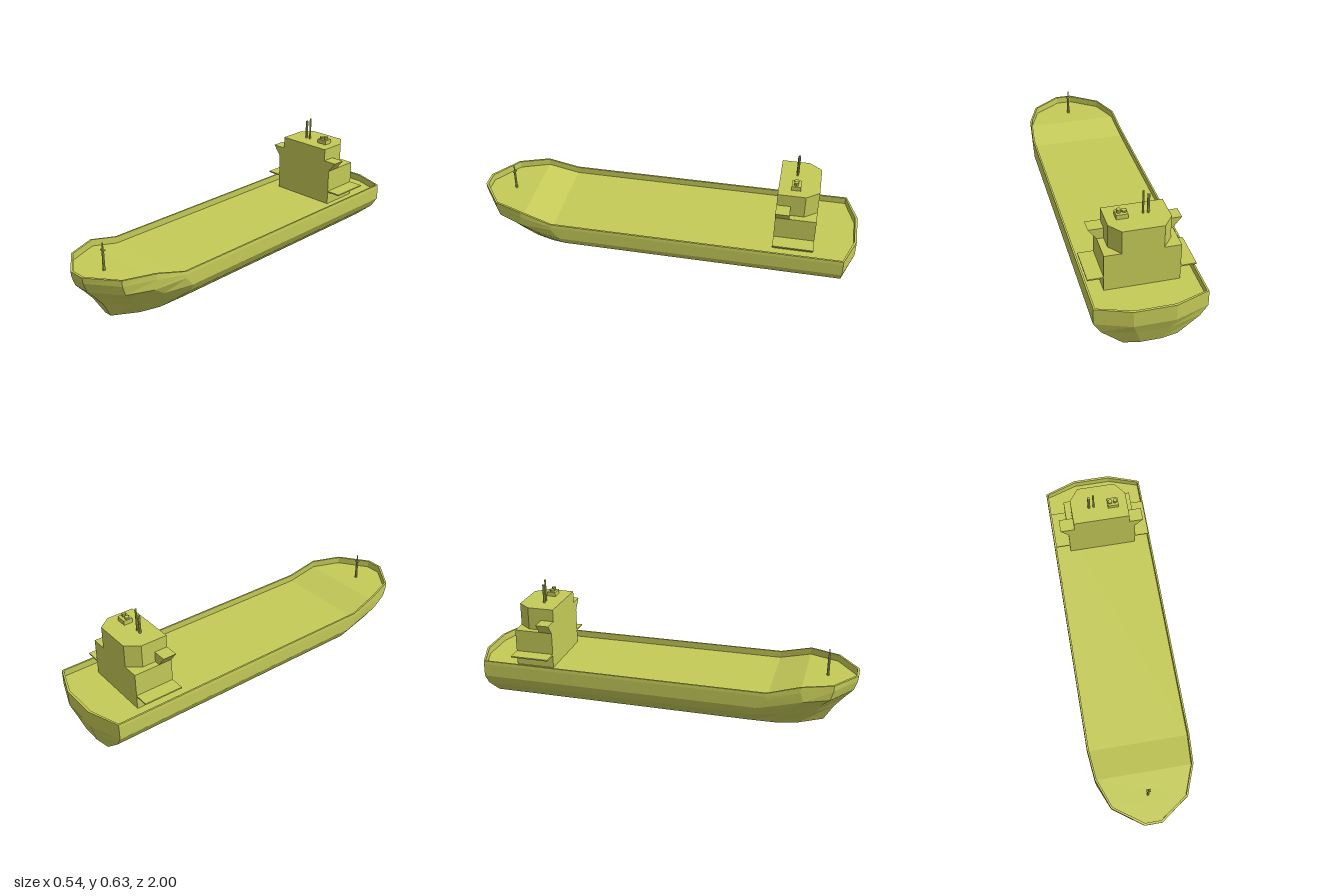
import * as THREE from 'three';

const material = new THREE.MeshStandardMaterial({ color: 0xc5cb58, flatShading: true });

function add(parent, name, geometry, x = 0, y = 0, z = 0) {
  const mesh = new THREE.Mesh(geometry, material);
  mesh.name = name;
  mesh.position.set(x, y, z);
  parent.add(mesh);
  return mesh;
}

// Box given by its limits
function block(parent, name, x0, x1, y0, y1, z0, z1) {
  return add(parent, name, new THREE.BoxGeometry(x1 - x0, y1 - y0, z1 - z0),
    (x0 + x1) / 2, (y0 + y1) / 2, (z0 + z1) / 2);
}

// Upright post standing on y0
function post(parent, name, x, z, y0, y1, rBottom, rTop = rBottom, sides = 8) {
  return add(parent, name, new THREE.CylinderGeometry(rTop, rBottom, y1 - y0, sides), x, (y0 + y1) / 2, z);
}

// Half outlines [x, z] from bow to stern, one per level, keel to bulwark rim, then down inside to the deck
const outlines = [
  [[.022, .84], [.095, .72], [.125, .62], [.13, .47], [.13, -.935], [.05, -.95]],
  [[.04, .89], [.14, .79], [.2, .65], [.235, .51], [.235, -.938], [.08, -.98]],
  [[.042, .935], [.165, .83], [.235, .68], [.27, .53], [.27, -.94], [.1, -1]],
  [[.045, .98], [.195, .875], [.25, .75], [.27, .57], [.27, -.94], [.1, -1]],
  [[.045, .997], [.195, .89], [.255, .735], [.27, .57], [.27, -.94], [.1, -1]],
  [[.045, 1], [.195, .89], [.253, .735], [.268, .57], [.268, -.94], [.1, -1]],
  [[.041, .988], [.187, .884], [.244, .732], [.259, .57], [.259, -.934], [.098, -.988]],
  [[.041, .985], [.187, .882], [.244, .732], [.259, .57], [.259, -.934], [.098, -.986]],
];
const bowHeights = [0, .09, .145, .195, .245, .275, .275, .24];
const mainHeights = [0, .09, .145, .195, .213, .23, .23, .195];

function hullGeometry() {
  const positions = [];
  const quad = (a, b, c, d) => positions.push(...a, ...b, ...c, ...a, ...c, ...d);
  // Mirror each half outline into a closed ring
  const rings = outlines.map((half, level) => {
    const left = half.map(([x, z], i) => [x, i < 3 ? bowHeights[level] : mainHeights[level], z]);
    return [...left, ...left.map(([x, y, z]) => [-x, y, z]).reverse()];
  });
  const n = rings[0].length;
  for (let k = 0; k < rings.length - 1; k++) {
    for (let i = 0; i < n; i++) {
      const j = (i + 1) % n;
      quad(rings[k][i], rings[k][j], rings[k + 1][j], rings[k + 1][i]);
    }
  }
  // Flat bottom and stepped deck, strip by strip across the ship
  const bottom = rings[0], deck = rings[rings.length - 1];
  for (let i = 0; i < n / 2 - 1; i++) {
    quad(bottom[i], bottom[n - 1 - i], bottom[n - 2 - i], bottom[i + 1]);
    quad(deck[i], deck[i + 1], deck[n - 2 - i], deck[n - 1 - i]);
  }
  const geometry = new THREE.BufferGeometry();
  geometry.setAttribute('position', new THREE.Float32BufferAttribute(positions, 3));
  geometry.computeVertexNormals();
  return geometry;
}

function polygon(points) {
  return new THREE.Shape(points.map(([x, y]) => new THREE.Vector2(x, y)));
}

export function createModel() {
  const ship = new THREE.Group();
  ship.name = 'cargoShip';
  add(ship, 'hull', hullGeometry());

  // Deckhouse
  const house = new THREE.Group();
  house.name = 'deckhouse';
  ship.add(house);
  block(house, 'lowerHouse', -.183, .183, .19, .39, -.785, -.58);
  block(house, 'sidePlatform', -.26, .26, .264, .271, -.785, -.58);

  // Bridge with chamfered aft corners
  const plan = polygon([[-.15, .58], [.15, .58], [.15, .72], [.1, .785], [-.1, .785], [-.15, .72]]);
  const bridge = new THREE.ExtrudeGeometry(plan, { depth: .12, bevelEnabled: false });
  bridge.rotateX(-Math.PI / 2);
  add(house, 'bridge', bridge, 0, .39, 0);

  // Flared bridge wings
  for (const s of [-1, 1]) {
    const section = polygon([[.14 * s, .39], [.183 * s, .39], [.225 * s, .445], [.14 * s, .445]]);
    const wing = new THREE.ExtrudeGeometry(section, { depth: .07, bevelEnabled: false });
    add(house, s > 0 ? 'leftBridgeWing' : 'rightBridgeWing', wing, 0, 0, -.65);
  }

  // Roof fittings
  post(house, 'shortRoofMast', -.055, -.665, .51, .61, .007);
  post(house, 'tallRoofMast', -.03, -.665, .51, .63, .005);
  block(house, 'roofBox', .045, .102, .51, .533, -.69, -.643);
  post(house, 'lowVent', .059, -.665, .533, .543, .012);
  post(house, 'highVent', .086, -.665, .533, .55, .011);

  // Bow mast
  const mast = new THREE.Group();
  mast.name = 'bowMast';
  ship.add(mast);
  post(mast, 'mastPole', 0, .845, .24, .345, .007, .006);
  block(mast, 'mastCrossbar', -.012, .012, .343, .348, .838, .852);
  post(mast, 'mastTip', 0, .845, .348, .384, .005, .0025);

  return ship;
}
